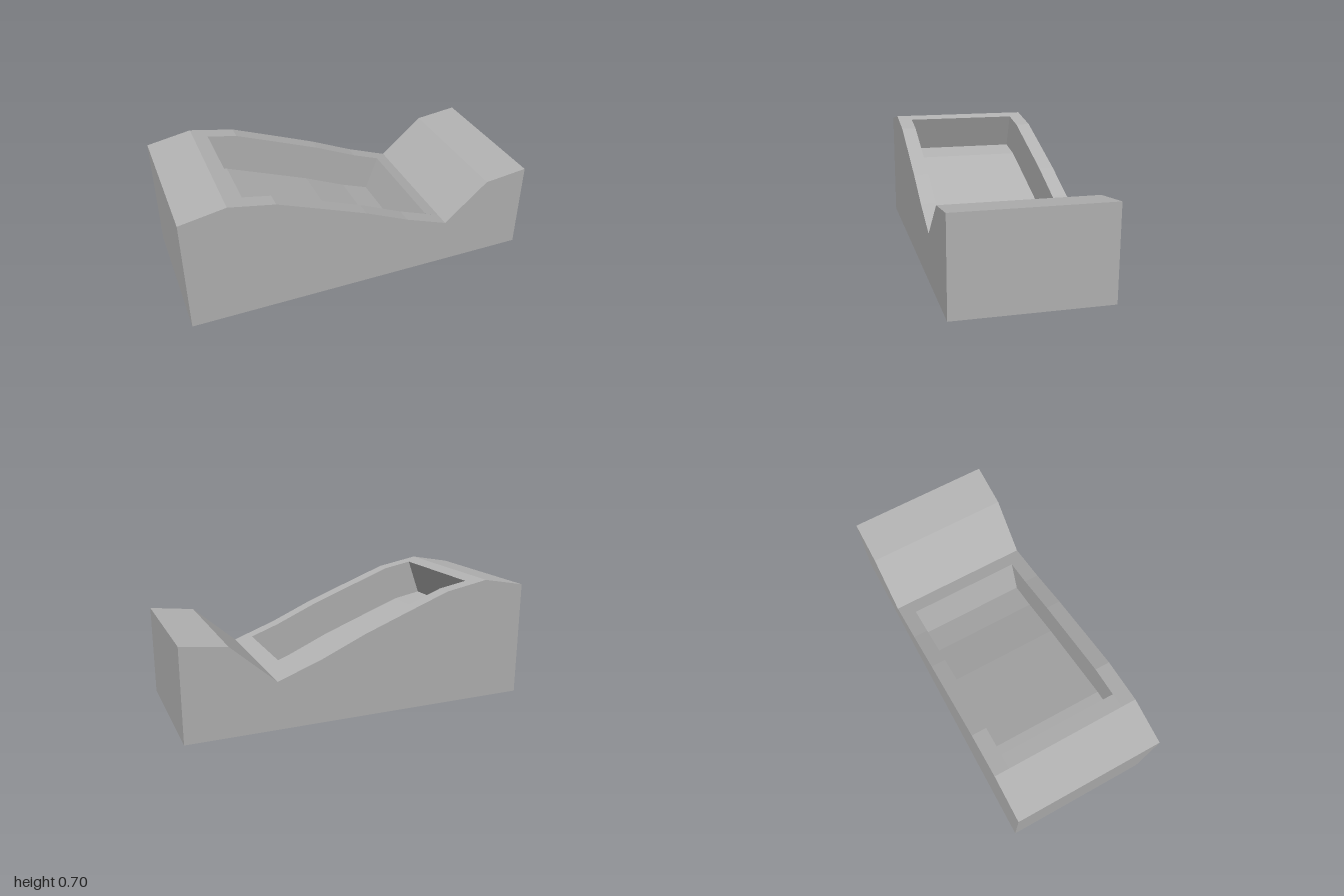
import * as THREE from 'three';

const HALF_DEPTH = 0.42, HALF_POCKET = 0.335;

// Contoured top surface, from the left end to the right end
const TOP = [[-1, 0.659], [-0.75, 0.705], [-0.5, 0.659], [-0.25, 0.565], [0, 0.47],
  [0.25, 0.36], [0.5, 0.268], [0.75, 0.487], [1, 0.518]];

// Pocket opening along the top; the floor is the same line shifted square to the slope
const RIM = [[-0.667, 0.69], ...TOP.slice(2, 6), [0.415, 0.3]];
const FLOOR = RIM.map(([x, y]) => [x - 0.075, y - 0.207]);

// Skin swept in z along a counter-clockwise outline
function sweep(outline, z0, z1) {
  const pos = [];
  outline.forEach(([ax, ay], i) => {
    const [bx, by] = outline[(i + 1) % outline.length];
    pos.push(ax, ay, z1, ax, ay, z0, bx, by, z0);
    pos.push(ax, ay, z1, bx, by, z0, bx, by, z1);
  });
  const geo = new THREE.BufferGeometry();
  geo.setAttribute('position', new THREE.Float32BufferAttribute(pos, 3));
  geo.computeVertexNormals();
  return geo;
}

// Flat face filling an outline, facing +z or turned to face -z
function face(outline, z, facing) {
  const shape = new THREE.Shape(outline.map(([x, y]) => new THREE.Vector2(facing * x, y)));
  const geo = new THREE.ShapeGeometry(shape);
  if (facing < 0) geo.rotateY(Math.PI);
  return geo.translate(0, 0, z);
}

export function createModel() {
  const model = new THREE.Group();
  model.name = 'contouredBlock';
  const grey = new THREE.MeshStandardMaterial({ color: 0xb3b3b3, flatShading: true });
  grey.name = 'grey';

  const add = (name, geo) => {
    const mesh = new THREE.Mesh(geo, grey);
    mesh.name = name;
    model.add(mesh);
  };

  const solid = [[-1, 0], [1, 0], ...[...TOP].reverse()];
  const notched = [[-1, 0], [1, 0], ...TOP.slice(6).reverse(),
    RIM[RIM.length - 1], ...[...FLOOR].reverse(), RIM[0], TOP[1], TOP[0]];
  const pocket = [...FLOOR, ...[...RIM].reverse()];

  // Middle of the block, cut by the pocket
  add('pocketSection', sweep(notched, -HALF_POCKET, HALF_POCKET));

  // Front and back rims, with their outer faces and the pocket side walls
  for (const [side, s] of [['front', 1], ['back', -1]]) {
    const inner = s * HALF_POCKET, outer = s * HALF_DEPTH;
    add(side + 'Rim', sweep(solid, Math.min(inner, outer), Math.max(inner, outer)));
    add(side + 'Face', face(solid, outer, s));
    add(side + 'PocketWall', face(pocket, inner, -s));
  }
  return model;
}
